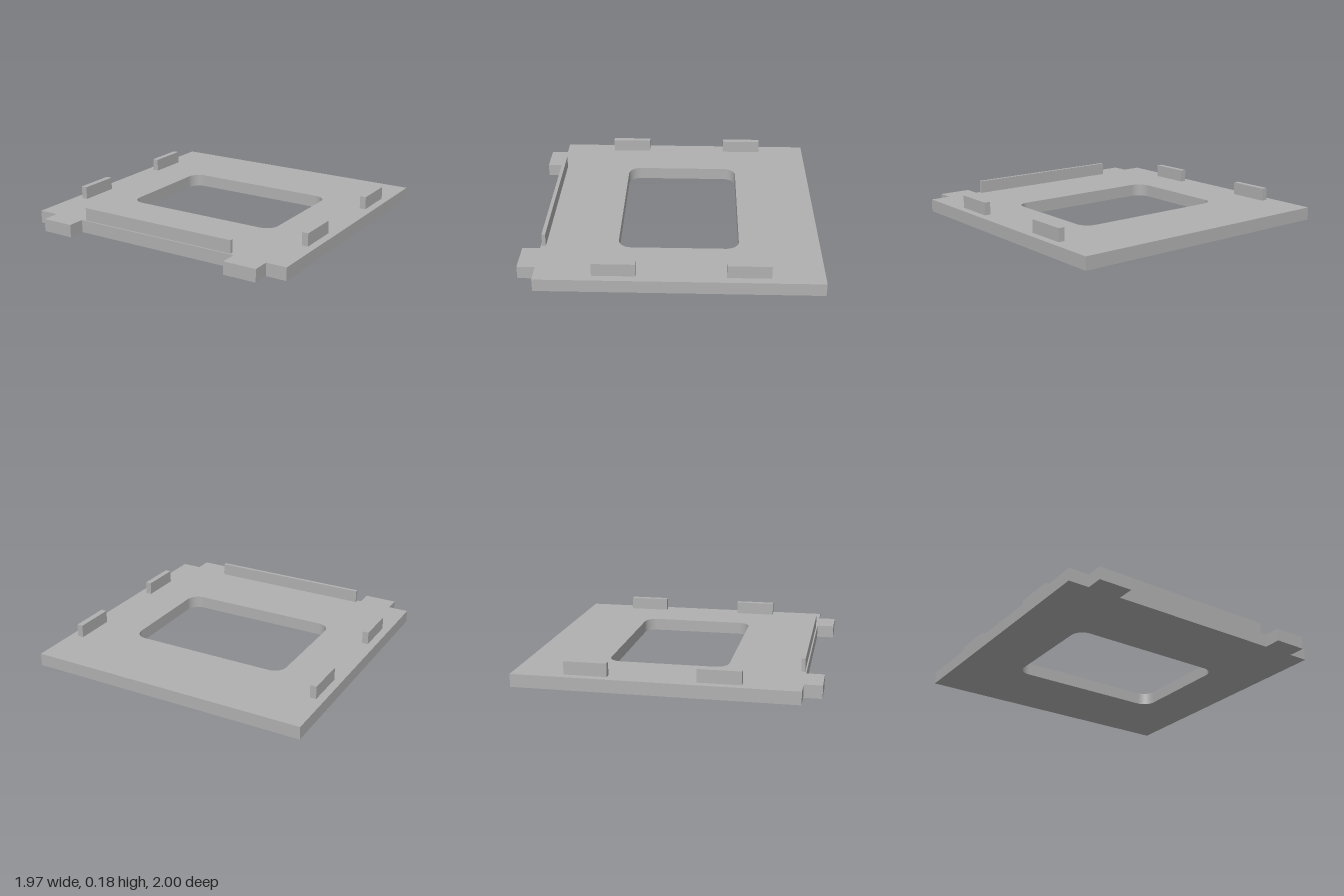
import * as THREE from 'three';

const THICK = 0.088;
const TOP = 0.177;

export function createModel() {
  const group = new THREE.Group();
  const grey = new THREE.MeshStandardMaterial({ color: 0xb0b0b0 });
  grey.name = 'grey';

  const add = (name, geometry) => {
    const mesh = new THREE.Mesh(geometry, grey);
    mesh.name = name;
    group.add(mesh);
    return mesh;
  };

  // Base plate outline with two front tabs, drawn with shape y = -z
  const half = [[0.61, -0.88], [0.61, -1], [0.84, -1], [0.84, -0.88], [0.983, -0.88], [0.983, 1]];
  const mirrored = half.map(([x, y]) => [-x, y]).reverse();
  const outline = new THREE.Shape([...half, ...mirrored].map(([x, y]) => new THREE.Vector2(x, y)));

  // Rounded rectangular window
  const [w, y0, y1, r] = [0.58, -0.36, 0.455, 0.09];
  const hole = new THREE.Path();
  hole.moveTo(-w + r, y0);
  hole.absarc(w - r, y0 + r, r, -Math.PI / 2, 0);
  hole.absarc(w - r, y1 - r, r, 0, Math.PI / 2);
  hole.absarc(-w + r, y1 - r, r, Math.PI / 2, Math.PI);
  hole.absarc(-w + r, y0 + r, r, Math.PI, Math.PI * 1.5);
  outline.holes.push(hole);

  const plate = new THREE.ExtrudeGeometry(outline, { depth: THICK, bevelEnabled: false, curveSegments: 12 });
  plate.rotateX(-Math.PI / 2);
  add('basePlate', plate);

  // Upright ribs standing on the plate
  const rib = (name, x, z, width, depth) => {
    const mesh = add(name, new THREE.BoxGeometry(width, TOP - THICK, depth));
    mesh.position.set(x, (TOP + THICK) / 2, z);
  };
  for (const [side, s] of [['left', 1], ['right', -1]]) {
    rib(side + 'RearRib', s * 0.907, -0.51, 0.043, 0.287);
    rib(side + 'FrontRib', s * 0.907, 0.361, 0.043, 0.287);
  }
  rib('frontRidge', 0, 0.858, 1.16, 0.025);

  return group;
}
